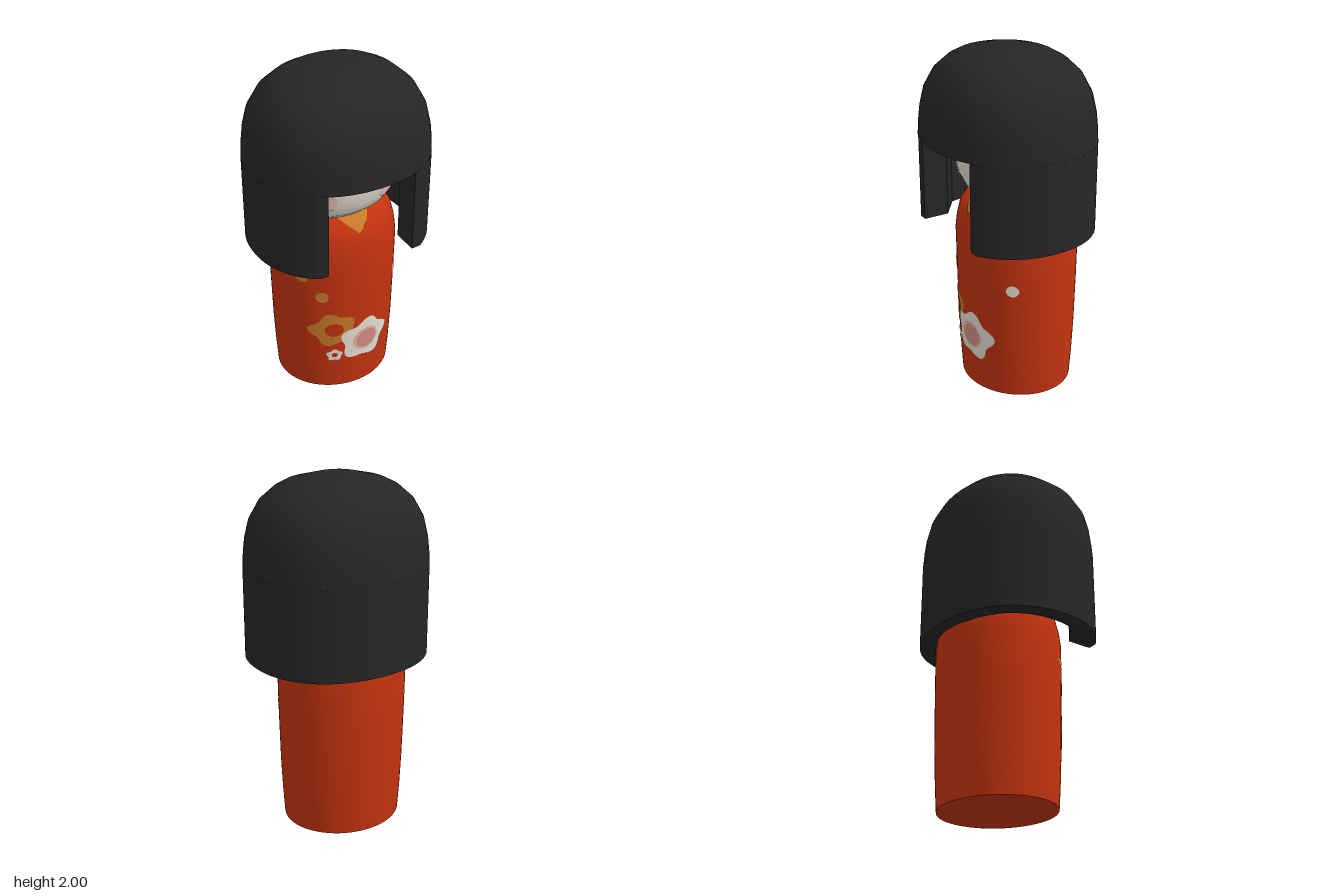
import * as THREE from 'three';
import { toCreasedNormals } from 'three/addons/utils/BufferGeometryUtils.js';

const mat = (name, color, side = THREE.FrontSide) => {
  const m = new THREE.MeshStandardMaterial({ color, side });
  m.name = name;
  return m;
};

// Turned forms: [radius, height] profiles with an oval plan
const BODY = { cx: 0.005, cz: -0.06, sz: 0.91, profile: [[0, 0], [0.345, 0], [0.355, 0.15], [0.364, 0.35],
  [0.371, 0.65], [0.375, 0.92], [0.365, 1.0], [0.345, 1.08], [0.31, 1.13], [0.26, 1.16], [0.15, 1.178], [0, 1.183]] };
const HEAD = { cx: 0, cz: -0.06, sz: 0.85, profile: [[0, 1.12], [0.2, 1.138], [0.27, 1.16], [0.33, 1.205],
  [0.368, 1.27], [0.388, 1.36], [0.4, 1.5], [0.36, 1.68], [0.2, 1.78], [0, 1.8]] };

function turned({ cx, cz, sz, profile }) {
  const g = new THREE.LatheGeometry(profile.map(([r, y]) => new THREE.Vector2(r, y)), 64);
  g.scale(1, 1, sz);
  g.translate(cx, 0, cz);
  return toCreasedNormals(g, 0.7);
}

// Depth of the front surface of a turned form at (x, y)
function frontZ({ cx, cz, sz, profile }, x, y) {
  let r = 0;
  for (let i = 1; i < profile.length; i++) {
    const [r0, y0] = profile[i - 1], [r1, y1] = profile[i];
    if (y1 > y0 && y >= y0 && y <= y1) r = r0 + (r1 - r0) * (y - y0) / (y1 - y0);
  }
  return cz + sz * Math.sqrt(Math.max(0, r * r - (x - cx) ** 2));
}

// Thin painted patch: fn(u, v) gives [x, y], laid onto the form
function patch(form, fn, nu, nv, lift) {
  const pos = [], idx = [];
  for (let i = 0; i <= nu; i++) for (let j = 0; j <= nv; j++) {
    const [x, y] = fn(i / nu, j / nv);
    pos.push(x, y, frontZ(form, x, y) + lift);
    if (i < nu && j < nv) {
      const a = i * (nv + 1) + j, b = a + nv + 1;
      idx.push(a, b, a + 1, b, b + 1, a + 1);
    }
  }
  const g = new THREE.BufferGeometry();
  g.setAttribute('position', new THREE.Float32BufferAttribute(pos, 3));
  g.setIndex(idx);
  g.computeVertexNormals();
  return g;
}

// Round or petalled patch, optionally with a hole
function blossom(form, x, y, rx, ry, { petals = 0, wave = 0, turn = Math.PI / 2, hole = 0, lift = 0.004 } = {}) {
  return patch(form, (u, v) => {
    const t = v * Math.PI * 2;
    const edge = 1 + wave * Math.cos(petals * (t - turn));
    const k = hole + (edge - hole) * u;
    return [x + rx * k * Math.cos(t), y + ry * k * Math.sin(t)];
  }, 6, 60, lift);
}

// Hair plan: a slightly squared oval
const hairPoint = (t, s) => {
  const p = (c) => Math.sign(c) * Math.abs(c) ** (2 / 2.2);
  return [0.518 * s * p(Math.cos(t)), 0.467 * s * p(Math.sin(t))];
};

function hairCap() {
  const rings = [[1.49, 1], [1.57, 0.99], [1.65, 0.972], [1.75, 0.925], [1.85, 0.815], [1.92, 0.66],
    [1.955, 0.53], [1.99, 0.25], [2.0, 0]];
  const n = 48, pos = [], idx = [];
  const all = [[1.49, 0], [1.49, 1], ...rings];
  all.forEach(([y, s], i) => {
    for (let j = 0; j <= n; j++) {
      const [x, z] = hairPoint(j % n / n * Math.PI * 2, s);
      pos.push(x, y, z);
      if (j < n && i < all.length - 1 && i !== 1) {
        const a = i * (n + 1) + j, b = a + n + 1;
        idx.push(a, b, a + 1, b, b + 1, a + 1);
      }
    }
  });
  const g = new THREE.BufferGeometry();
  g.setAttribute('position', new THREE.Float32BufferAttribute(pos, 3));
  g.setIndex(idx);
  return toCreasedNormals(g, 0.8);
}

// Hanging sides and back: a horseshoe wall, open at the face
function hairCurtain() {
  const outer = [], inner = [], n = 120;
  for (let i = 0; i <= n; i++) {
    const t = Math.PI / 2 + i / n * Math.PI * 2;
    const o = hairPoint(t, 1), q = hairPoint(t, 0.82);
    if (o[1] < 0.388) outer.push(o);
    if (q[1] < 0.15) inner.push(q);
  }
  const plan = [[-0.262, 0.39], ...outer, [0.262, 0.39], [0.262, 0.24], ...inner.reverse(), [-0.262, 0.24]];
  const shape = new THREE.Shape(plan.map(([x, z]) => new THREE.Vector2(x, -z)));
  const g = new THREE.ExtrudeGeometry(shape, { depth: 0.515, bevelEnabled: false });
  g.rotateX(-Math.PI / 2);
  g.translate(0, 0.975, 0);
  return toCreasedNormals(g, 0.6);
}

export function createModel() {
  const group = new THREE.Group();
  group.name = 'woodenDoll';
  const two = THREE.DoubleSide;
  const hair = mat('blackHair', 0x262626);
  const red = mat('redRobe', 0xc4330f);
  const skin = mat('paleSkin', 0xe6ded2);
  const white = mat('whitePaint', 0xe8dfd5, two);
  const orange = mat('orangePaint', 0xc87a28, two);
  const blush = mat('blushPaint', 0xe4c2b6, two);
  const palePink = mat('palePinkPaint', 0xe2b0a6, two);
  const pink = mat('pinkPaint', 0xd28d85, two);
  const ink = mat('eyePaint', 0x1c1c1c, two);
  const add = (name, geometry, material) => {
    const m = new THREE.Mesh(geometry, material);
    m.name = name;
    group.add(m);
  };

  // Main forms
  add('body', turned(BODY), red);
  add('head', turned(HEAD), skin);
  add('hairCap', hairCap(), hair);
  add('hairCurtain', hairCurtain(), hair);

  // Face
  for (const [side, s] of [['left', 1], ['right', -1]]) {
    add(side + 'Cheek', blossom(HEAD, s * 0.205, 1.315, 0.075, 0.075), blush);
    add(side + 'Eye', patch(HEAD, (u, v) => {
      const k = 2 * u - 1, arch = 1 - k * k;
      return [s * 0.172 + 0.036 * k, 1.406 - 0.004 * arch + v * (0.006 + 0.028 * arch)];
    }, 14, 3, 0.006), ink);
  }

  // Collar point
  add('collar', patch(BODY, (u, v) => [0.008 + (2 * u - 1) * 0.1 * v, 1.08 + 0.088 * v], 10, 24, 0.008), orange);

  // Robe blossoms
  const five = { petals: 5, wave: 0.12 };
  add('orangeBlossom', blossom(BODY, -0.148, 0.445, 0.118, 0.112, { ...five, turn: 1.85, hole: 0.43, lift: 0.003 }), orange);
  add('whiteBlossom', blossom(BODY, 0.045, 0.335, 0.152, 0.137, { ...five, turn: 1.4, lift: 0.005 }), white);
  add('blossomRing', blossom(BODY, 0.045, 0.335, 0.085, 0.08, { lift: 0.007 }), palePink);
  add('blossomCentre', blossom(BODY, 0.05, 0.335, 0.068, 0.066, { lift: 0.009 }), pink);
  add('smallBlossom', blossom(BODY, -0.145, 0.252, 0.042, 0.042, { ...five, hole: 0.4 }), white);

  // Loose petals
  add('upperPetal', blossom(BODY, -0.3, 0.81, 0.022, 0.023), orange);
  add('lowerPetal', blossom(BODY, -0.213, 0.69, 0.032, 0.036), orange);
  add('whitePetal', blossom(BODY, 0.298, 0.688, 0.024, 0.034), white);
  return group;
}
